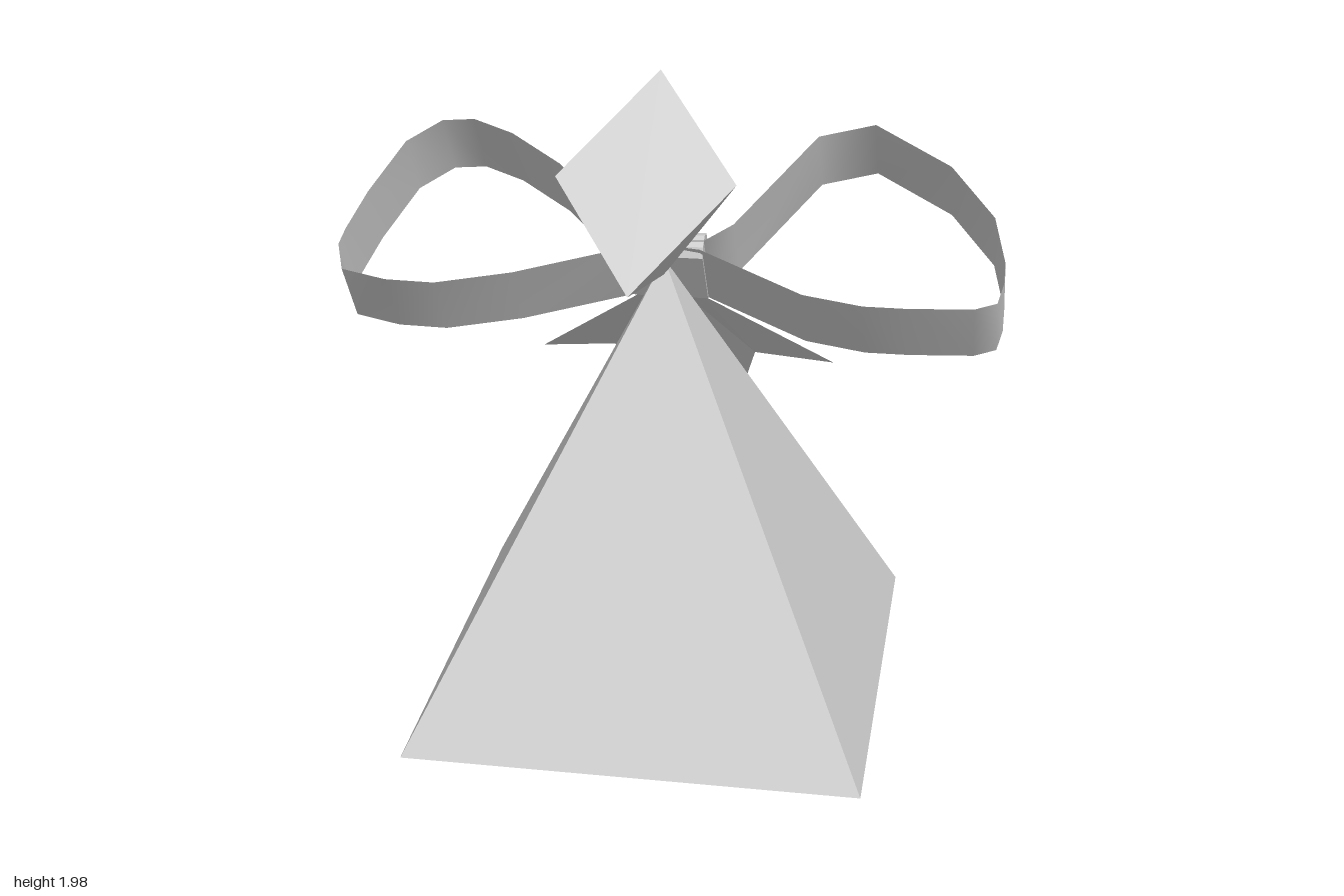
import * as THREE from 'three';
import { ConvexGeometry } from 'three/addons/geometries/ConvexGeometry.js';

const grey = new THREE.MeshStandardMaterial({ color: 0xcccccc });
const thin = new THREE.MeshStandardMaterial({ color: 0xcccccc, side: THREE.DoubleSide });
const flatThin = new THREE.MeshStandardMaterial({ color: 0xcccccc, side: THREE.DoubleSide, flatShading: true });

function part(name, geometry, material) {
  const mesh = new THREE.Mesh(geometry, material);
  mesh.name = name;
  return mesh;
}

// flat-faced solid around a few corner points
const solid = (points) => new ConvexGeometry(points.map((p) => new THREE.Vector3(...p)));

function surface(positions, index) {
  const g = new THREE.BufferGeometry();
  g.setAttribute('position', new THREE.Float32BufferAttribute(positions, 3));
  g.setIndex(index);
  g.computeVertexNormals();
  return g;
}

// upright band following a path of [x, depth] points
function band(path, width) {
  const pos = [], index = [];
  path.forEach(([x, d], i) => {
    pos.push(x, width / 2, -d, x, -width / 2, -d);
    if (i < path.length - 1) {
      const a = i * 2;
      index.push(a, a + 1, a + 2, a + 1, a + 3, a + 2);
    }
  });
  return surface(pos, index);
}

export function createModel() {
  const model = new THREE.Group();

  // body: large square pyramid
  model.add(part('body', solid([
    [-0.70, 0, -0.69], [0.68, 0, -0.69], [0.68, 0, 0.69], [-0.70, 0, 0.69], [-0.01, 1.38, 0],
  ]), grey));

  // head: small pyramid on its tip, its diamond base facing forward and up
  model.add(part('head', solid([
    [-0.01, 1.98, 0.06], [0.25, 1.74, 0.345], [-0.01, 1.50, 0.63], [-0.265, 1.74, 0.345], [-0.01, 1.33, 0],
  ]), grey));

  // bow: two ribbon loops and a knot, tilted back
  const bow = new THREE.Group();
  bow.name = 'bow';
  bow.position.set(0, 1.229, 0.096);
  bow.rotation.set(0.575, 0, 0.011);
  model.add(bow);

  const leftPath = [
    [0, 0.2], [0.11, 0.205], [0.19, 0.27], [0.41, 0.62], [0.58, 0.675], [0.82, 0.525], [0.96, 0.34], [1, 0.175],
    [1, 0.1], [0.985, 0.03], [0.92, 0.005], [0.73, -0.005], [0.6, -0.005], [0.42, 0.025], [0.1, 0.17], [0, 0.18],
  ];
  const rightPath = [
    [0, 0.2], [-0.12, 0.218], [-0.19, 0.29], [-0.37, 0.47], [-0.54, 0.583], [-0.67, 0.633], [-0.77, 0.623],
    [-0.87, 0.533], [-0.95, 0.33], [-0.99, 0.185], [-1, 0.125], [-0.97, 0.033], [-0.83, 0.003],
    [-0.68, 0], [-0.45, 0.052], [-0.12, 0.165], [0, 0.18],
  ];
  bow.add(part('leftLoop', band(leftPath, 0.235), thin));
  bow.add(part('rightLoop', band(rightPath, 0.235), thin));

  // knot: short bar with chamfered edges, slightly narrower at its rims
  const knotPoints = [];
  for (const sx of [-1, 1]) for (const sy of [-1, 1]) for (const sz of [-1, 1]) {
    knotPoints.push([sx * 0.113, sy * 0.122, sz * 0.022], [sx * 0.113, sy * 0.1, sz * 0.048]);
  }
  const knot = part('knot', solid(knotPoints), grey);
  knot.position.set(-0.005, -0.01, -0.205);
  bow.add(knot);

  // tails: strips hanging behind, each with a notched end
  for (const [name, s] of [['leftTail', 1], ['rightTail', -1]]) {
    const pos = [
      [0.02, 1.24, -0.11], [0.09, 1.235, -0.09], [0.47, 0.905, -0.405], [0.225, 0.95, -0.345], [0.165, 0.75, -0.485],
    ].flatMap(([x, y, z]) => [s * x, y, z]);
    model.add(part(name, surface(pos, [0, 1, 3, 1, 2, 3, 0, 3, 4]), flatThin));
  }

  return model;
}
